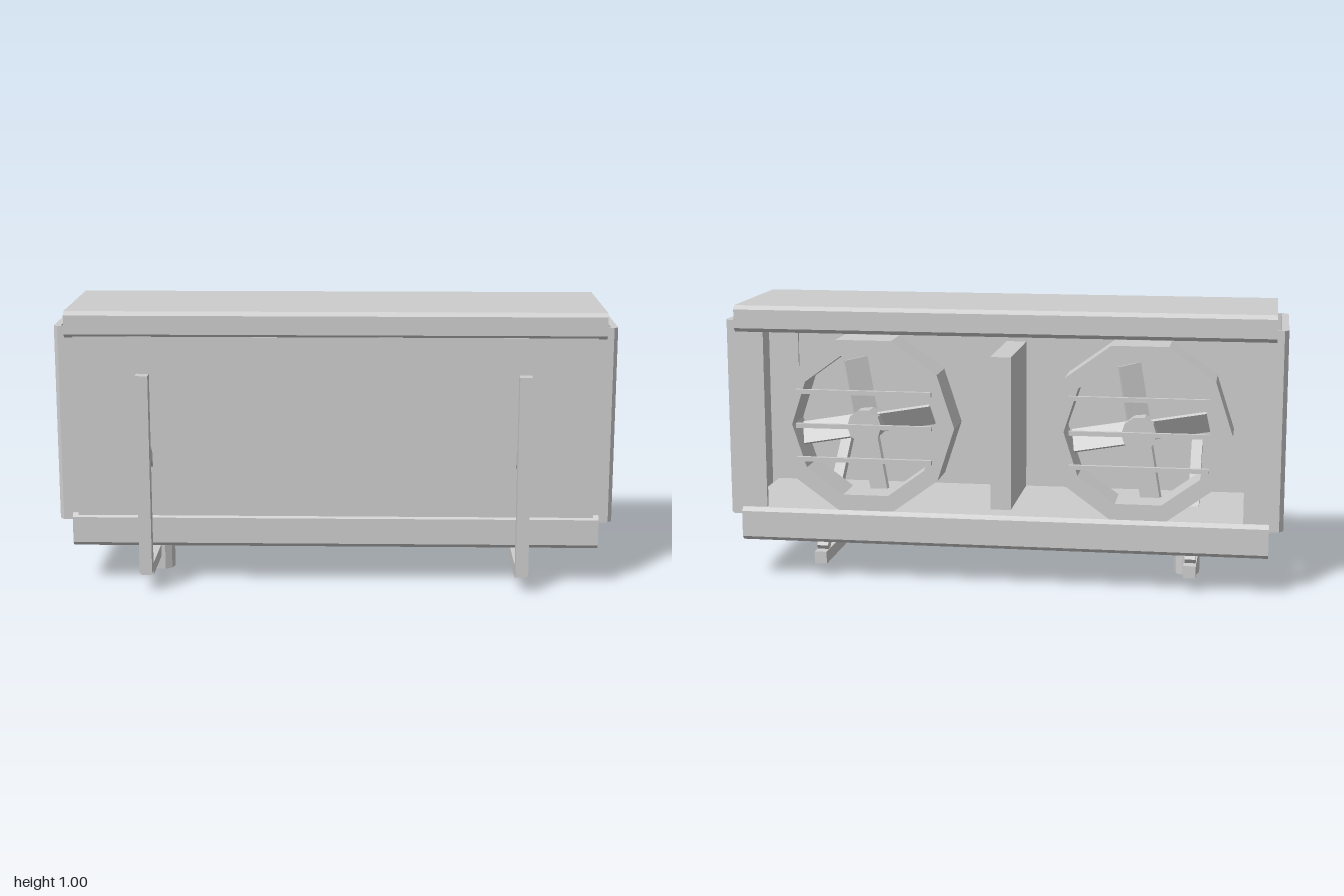
import * as THREE from 'three';

const metal = new THREE.MeshStandardMaterial({ color: 0xcccccc });
metal.name = 'light grey metal';
metal.flatShading = true;

function add(parent, name, geometry, x = 0, y = 0, z = 0) {
  const mesh = new THREE.Mesh(geometry, metal);
  mesh.name = name;
  mesh.position.set(x, y, z);
  parent.add(mesh);
  return mesh;
}

// Box given by its limits on each axis
function block(parent, name, [x0, x1], [y0, y1], [z0, z1]) {
  return add(parent, name, new THREE.BoxGeometry(x1 - x0, y1 - y0, z1 - z0),
    (x0 + x1) / 2, (y0 + y1) / 2, (z0 + z1) / 2);
}

function extrude(points, depth, hole) {
  const shape = new THREE.Shape(points.map(([x, y]) => new THREE.Vector2(x, y)));
  if (hole) shape.holes.push(new THREE.Path(hole.map(([x, y]) => new THREE.Vector2(x, y))));
  return new THREE.ExtrudeGeometry(shape, { depth, bevelEnabled: false });
}

const polygon = (sides, r) => Array.from({ length: sides }, (_, i) => {
  const a = (i / sides) * Math.PI * 2;
  return [r * Math.cos(a), r * Math.sin(a)];
});

// Long slab along x with four chamfered edges
function slab(parent, name, halfX, y0, y1) {
  const z0 = -0.3, z1 = 0.225, c = 0.014;
  const pts = [
    [-z1 + c, y0], [-z0 - c, y0], [-z0, y0 + c], [-z0, y1 - c],
    [-z0 - c, y1], [-z1 + c, y1], [-z1, y1 - c], [-z1, y0 + c],
  ];
  const geo = extrude(pts, halfX * 2);
  geo.translate(0, 0, -halfX);
  geo.rotateY(Math.PI / 2);
  return add(parent, name, geo);
}

// Side panel: a channel with chamfered outer corners, folded inwards front and back
function sidePanel(parent, name, side) {
  const x = (v) => v * side;
  const f = -0.205, b = 0.28, t = 0.015;
  const pts = [
    [x(0.86), f], [x(0.985), f], [x(1), f + 0.018], [x(1), b - 0.024], [x(0.985), b], [x(0.86), b],
    [x(0.86), b - t], [x(0.975), b - t], [x(0.975), f + t], [x(0.86), f + t],
  ];
  const geo = extrude(pts, 0.71);
  geo.rotateX(-Math.PI / 2);
  return add(parent, name, geo, 0, 0.235, 0);
}

// Fan with shroud ring, hub, pitched blades and guard bars
function fan(x) {
  const group = new THREE.Group();
  group.name = 'fan';
  group.position.set(x, 0.577, 0);
  add(group, 'fanShroud', extrude(polygon(10, 0.325), 0.15, polygon(10, 0.265)), 0, 0, -0.31);
  add(group, 'fanHub', extrude(polygon(10, 0.062), 0.11), 0, 0, -0.315);
  for (let i = 0; i < 4; i++) {
    const arm = new THREE.Group();
    arm.name = 'bladeArm';
    arm.rotation.z = -0.17 + i * Math.PI / 2;
    const blade = add(arm, 'fanBlade', new THREE.BoxGeometry(0.2, 0.085, 0.012), 0.14, 0, -0.255);
    blade.rotation.x = 0.55;
    group.add(arm);
  }
  for (const y of [-0.122, 0, 0.123]) {
    add(group, 'guardBar', new THREE.BoxGeometry(0.49, 0.016, 0.016), 0, y, -0.322);
  }
  return group;
}

// Mounting bracket: upright, foot arm and diagonal brace
function bracket(x) {
  const group = new THREE.Group();
  group.name = 'mountingBracket';
  const w = [x - 0.0225, x + 0.0225];
  block(group, 'bracketUpright', w, [0.07, 0.79], [0.285, 0.33]);
  block(group, 'bracketArm', w, [0.05, 0.095], [-0.26, 0.285]);
  const dy = 0.415, dz = 0.5;
  const brace = add(group, 'bracketBrace',
    new THREE.BoxGeometry(0.04, 0.036, Math.hypot(dy, dz)), x, 0.305, 0.03);
  brace.rotation.x = -Math.atan2(dy, dz);
  return group;
}

export function createModel() {
  const model = new THREE.Group();
  model.name = 'fanCoolerUnit';

  // Cabinet, open at the back
  slab(model, 'lid', 0.96, 0.905, 1);
  slab(model, 'baseTray', 0.95, 0.14, 0.262);
  sidePanel(model, 'leftSidePanel', 1);
  sidePanel(model, 'rightSidePanel', -1);
  block(model, 'frontPanel', [-0.93, 0.93], [0.255, 0.91], [0.2, 0.218]);
  block(model, 'centreDivider', [-0.025, 0.05], [0.25, 0.82], [-0.2, 0.205]);

  model.add(fan(-0.493), fan(0.486));
  model.add(bracket(-0.675), bracket(0.67));

  // Drain pipe under the tray
  const pipe = extrude(polygon(10, 0.047), 0.15, polygon(10, 0.037));
  pipe.rotateX(-Math.PI / 2);
  add(model, 'drainPipe', pipe, -0.653, 0, 0.006);

  return model;
}
